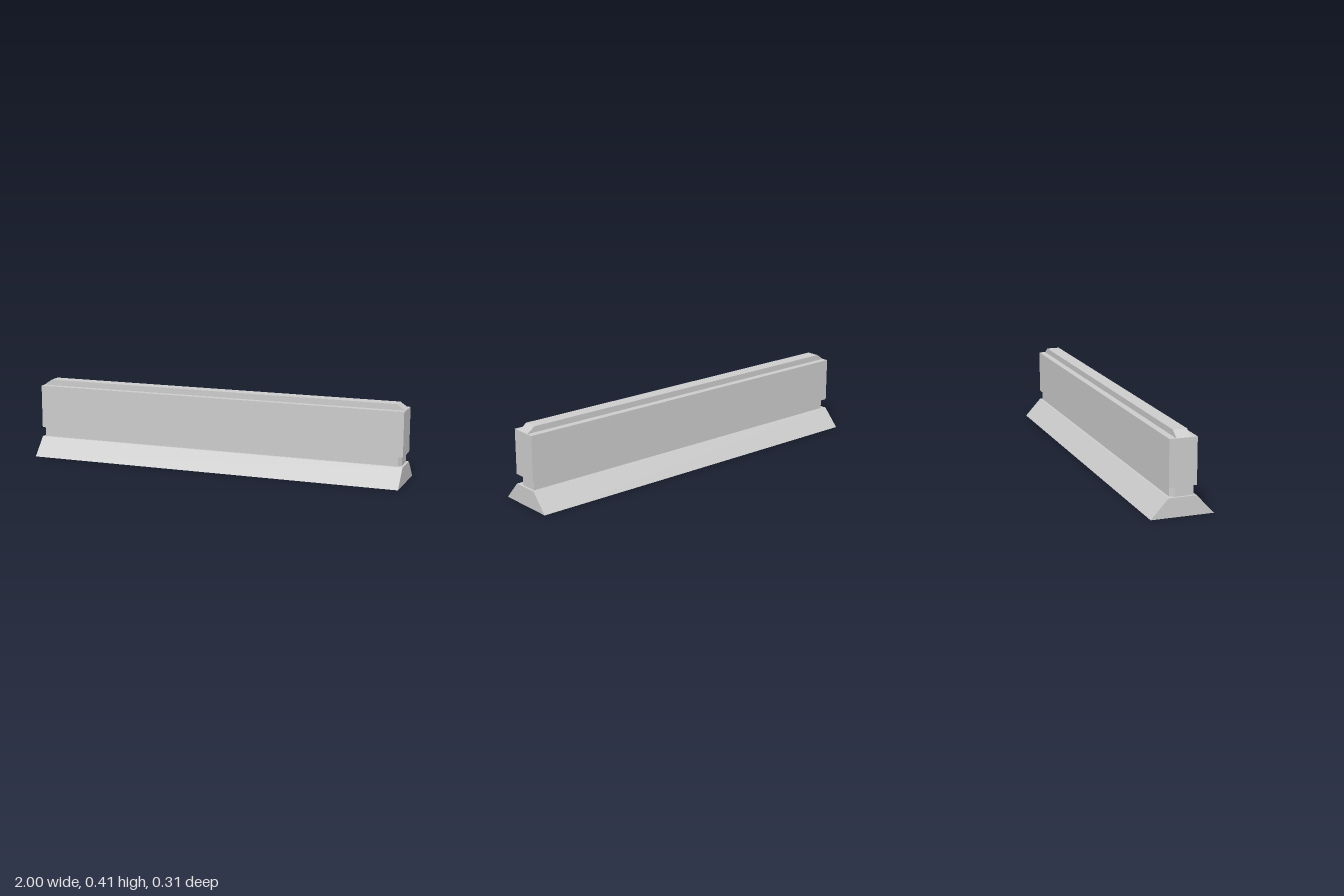
import * as THREE from 'three';

const material = new THREE.MeshStandardMaterial({ color: 0xcccccc, flatShading: true });

// Extrude a closed outline by a depth, centred on its extrusion axis
function prism(points, depth) {
  const shape = new THREE.Shape(points.map(([x, y]) => new THREE.Vector2(x, y)));
  return new THREE.ExtrudeGeometry(shape, { depth, bevelEnabled: false }).translate(0, 0, -depth / 2);
}

export function createModel() {
  const group = new THREE.Group();
  const add = (name, geometry) => {
    const mesh = new THREE.Mesh(geometry, material);
    mesh.name = name;
    group.add(mesh);
  };

  // Flared foot: trapezoid section running the full length
  add('flaredBase', prism([[-0.157, 0], [0.157, 0], [0.07, 0.095], [-0.07, 0.095]], 2).rotateY(Math.PI / 2));

  // Recessed neck: plan outline with two opposite corners trimmed
  const neck = [[-0.988, -0.035], [-0.973, -0.058], [0.988, -0.058], [0.988, 0.035], [0.973, 0.058], [-0.988, 0.058]];
  add('recessedNeck', prism(neck.map(([x, z]) => [x, -z]).reverse(), 0.05)
    .rotateX(-Math.PI / 2).translate(0, 0.12, 0));

  // Main wall
  add('wall', new THREE.BoxGeometry(2, 0.23, 0.139).translate(0, 0.26, 0));

  // Top rail with sloped ends
  add('topRail', prism([[-1, 0.375], [1, 0.375], [0.956, 0.405], [-0.956, 0.405]], 0.07));

  return group;
}
